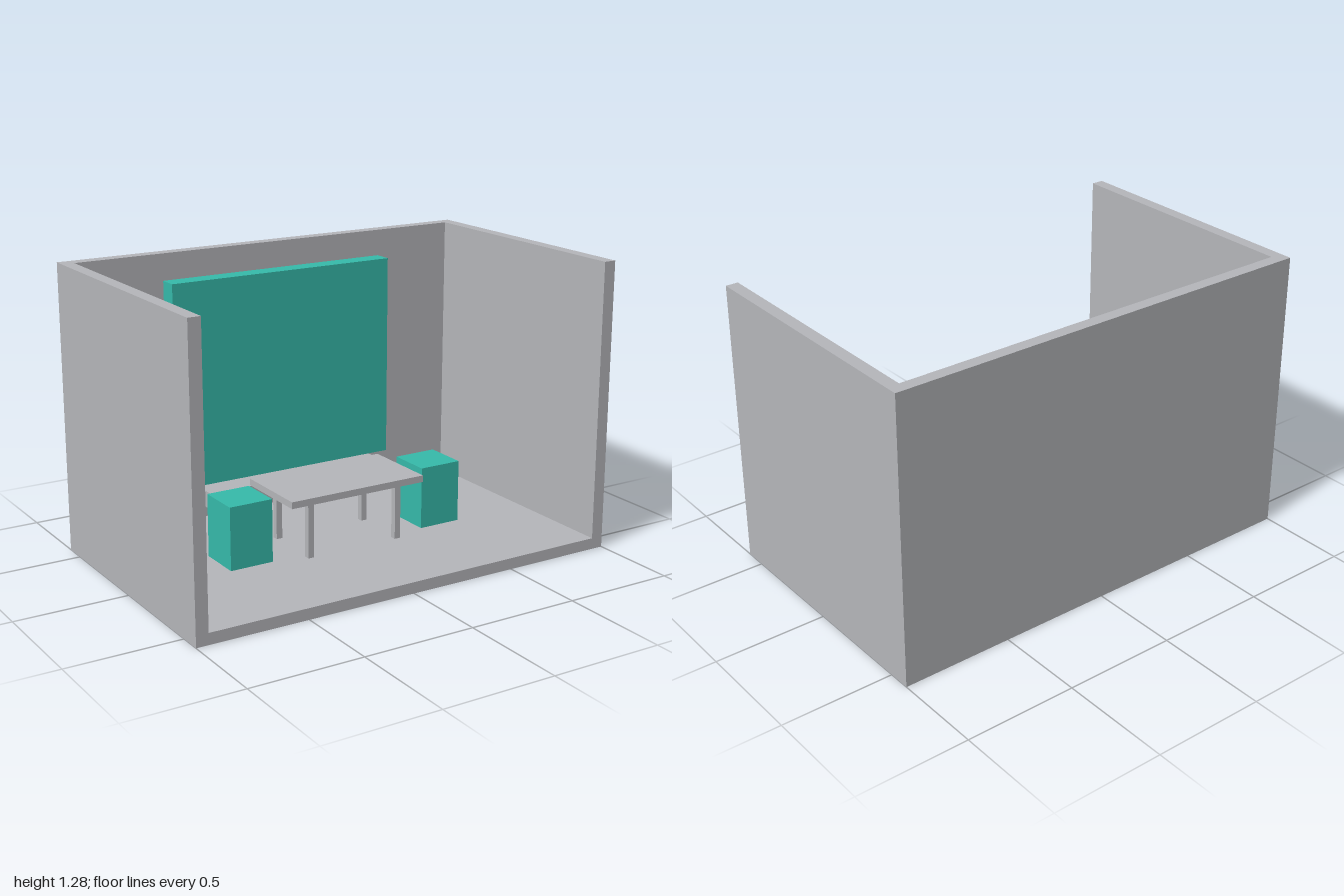
import * as THREE from 'three';

export function createModel() {
  const grey = new THREE.MeshStandardMaterial({ color: 0xb5b6ba });
  grey.name = 'light grey';
  const teal = new THREE.MeshStandardMaterial({ color: 0x36baaa });
  teal.name = 'teal';

  const model = new THREE.Group();
  model.name = 'booth';

  // Box given by its lower and upper limits on each axis
  const box = (name, material, [x0, x1], [y0, y1], [z0, z1], parent = model) => {
    const mesh = new THREE.Mesh(new THREE.BoxGeometry(x1 - x0, y1 - y0, z1 - z0), material);
    mesh.position.set((x0 + x1) / 2, (y0 + y1) / 2, (z0 + z1) / 2);
    mesh.name = name;
    parent.add(mesh);
    return mesh;
  };

  const floorTop = 0.05, height = 1.28, wall = 0.055;

  // Floor slab
  box('floor', grey, [-1, 1], [0, floorTop], [-0.6, 0.6]);

  // Three walls as one U-shaped plan, raised from the floor
  const plan = new THREE.Shape([
    [-1, -0.6], [1, -0.6], [1, 0.6], [1 - wall, 0.6],
    [1 - wall, -0.6 + wall], [-1 + wall, -0.6 + wall], [-1 + wall, 0.6], [-1, 0.6],
  ].map(([x, z]) => new THREE.Vector2(x, -z)));
  const wallGeometry = new THREE.ExtrudeGeometry(plan, { depth: height - floorTop, bevelEnabled: false });
  wallGeometry.rotateX(-Math.PI / 2);
  const walls = new THREE.Mesh(wallGeometry, grey);
  walls.position.y = floorTop;
  walls.name = 'walls';
  model.add(walls);

  // Display panel with the shelf bench below it
  box('backPanel', teal, [-0.55, 0.55], [0.24, 1.165], [-0.525, -0.44]);
  box('bench', grey, [-0.45, 0.45], [0.165, 0.24], [-0.545, -0.32]);

  // Table with four legs
  const table = new THREE.Group();
  table.name = 'table';
  model.add(table);
  box('tableTop', grey, [-0.33, 0.33], [0.3, 0.33], [-0.18, 0.18], table);
  for (const x of [-0.22, 0.22]) {
    for (const z of [-0.135, 0.135]) {
      box('tableLeg', grey, [x - 0.014, x + 0.014], [floorTop, 0.3], [z - 0.014, z + 0.014], table);
    }
  }

  // Block seats at both ends of the table
  for (const [name, x] of [['rightStool', -0.48], ['leftStool', 0.48]]) {
    box(name, teal, [x - 0.1, x + 0.1], [floorTop, 0.33], [-0.1, 0.1]);
  }

  return model;
}
